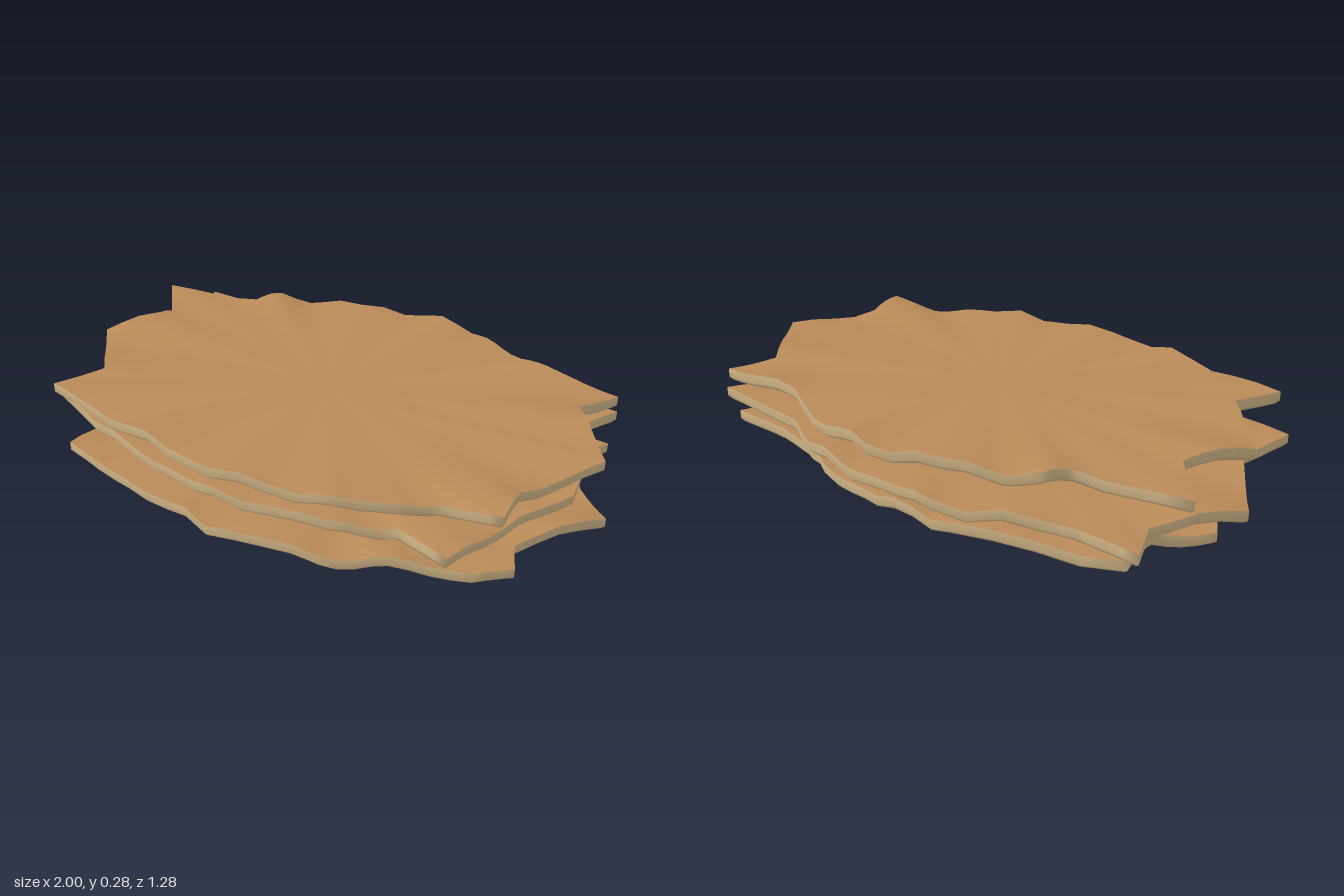
import * as THREE from 'three';

const crust = new THREE.MeshStandardMaterial({ color: 0xd8bb8c });
crust.name = 'pale tan edge';
const face = new THREE.MeshStandardMaterial({ color: 0xb98a58 });
face.name = 'toasted brown';

const THICK = 0.044;

// Edges shared by all slices, as x, z pairs running counterclockwise from above
const front = [-0.4, 0.57, -0.04, 0.61, 0.35, 0.54, 0.54, 0.45];
const back = [0.87, -0.22, 0.77, -0.35, 0.85, -0.5, 0.62, -0.5, 0.48, -0.51, 0.3, -0.6, 0.04, -0.625];

// Torn left side, front right corner and right tip of each slice
const slices = [
  {
    name: 'bottomSlice', base: 0.02, phase: 0.4, shift: 0.03,
    left: [-0.25, -0.57, -0.8, -0.42, -0.78, -0.25, -0.91, -0.1, -0.8, 0.08, -0.71, 0.35, -0.69, 0.56],
    corner: [0.78, 0.385, 0.87, 0.3], tip: [0.82, 0.2, 1, -0.09],
  },
  {
    name: 'middleSlice', base: 0.118, phase: 2.1, shift: -0.015,
    left: [-0.235, -0.635, -0.66, -0.49, -0.88, -0.49, -0.82, -0.35, -1, -0.09, -0.82, 0.2, -0.87, 0.415],
    corner: [0.74, 0.495], tip: [0.82, 0.18, 0.915, 0],
  },
  {
    name: 'topSlice', base: 0.216, phase: 4, shift: 0,
    left: [-0.29, -0.53, -0.51, -0.45, -0.57, -0.365, -0.93, -0.29, -0.78, -0.11, -0.905, 0.115,
      -0.7, 0.35, -0.78, 0.515],
    corner: [0.65, 0.37, 0.84, 0.35], tip: [0.82, 0.2, 0.97, -0.09],
  },
];

const moveZ = (flat, dz) => flat.map((v, i) => (i % 2 ? v + dz : v));

// Split every outline segment so the rim can ripple smoothly
function subdivide(flat, steps) {
  const pts = [], n = flat.length / 2;
  for (let i = 0; i < n; i++) {
    const j = (i + 1) % n;
    for (let s = 0; s < steps; s++) {
      const k = s / steps;
      pts.push([
        THREE.MathUtils.lerp(flat[2 * i], flat[2 * j], k),
        THREE.MathUtils.lerp(flat[2 * i + 1], flat[2 * j + 1], k),
      ]);
    }
  }
  return pts;
}

// Loft scaled copies of the outline; each ring is [scale, height]
function loft(pts, rings, base, phase) {
  const pos = [], index = [], n = pts.length;
  for (const [t, h] of rings) {
    for (const [x, z] of pts) {
      const a = Math.atan2(z, x);
      const ripple = 0.011 * Math.sin(11 * a + phase) + 0.008 * Math.sin(18 * a + 2 * phase);
      pos.push(x * t, base + h + ripple * t ** 4, z * t);
    }
  }
  for (let r = 0; r < rings.length - 1; r++) {
    for (let i = 0; i < n; i++) {
      const j = (i + 1) % n, a = r * n, b = a + n;
      index.push(a + i, b + i, b + j, a + i, b + j, a + j);
    }
  }
  const geo = new THREE.BufferGeometry();
  geo.setAttribute('position', new THREE.Float32BufferAttribute(pos, 3));
  geo.setIndex(index);
  geo.computeVertexNormals();
  return geo;
}

export function createModel() {
  const group = new THREE.Group();
  group.name = 'stackOfSlices';
  const inner = [0.01, 0.3, 0.55, 0.72, 0.84, 0.93];
  for (const { name, base, phase, shift, left, corner, tip } of slices) {
    const outline = [...left, ...moveZ(front, shift), ...corner, ...tip, ...moveZ(back, shift)];
    const pts = subdivide(outline, 4);
    const slice = new THREE.Group();
    slice.name = name;

    // Browned upper face, closed by a tiny ring at the centre
    const topRings = [0, ...inner, 1].map((t) => [t, THICK]);
    const top = new THREE.Mesh(loft(pts, topRings, base, phase), face);
    top.name = 'upperFace';

    // Pale rim rounding into the underside
    const under = [...inner].reverse().map((t) => [t, 0]);
    const bodyRings = [[1, THICK], [1, 0.012], [0.985, 0], ...under, [0, 0]];
    const body = new THREE.Mesh(loft(pts, bodyRings, base, phase), crust);
    body.name = 'rimAndUnderside';

    slice.add(top, body);
    group.add(slice);
  }
  // Rest the lowest ripple on the ground
  const box = new THREE.Box3().setFromObject(group);
  for (const slice of group.children) slice.position.y -= box.min.y;
  return group;
}
